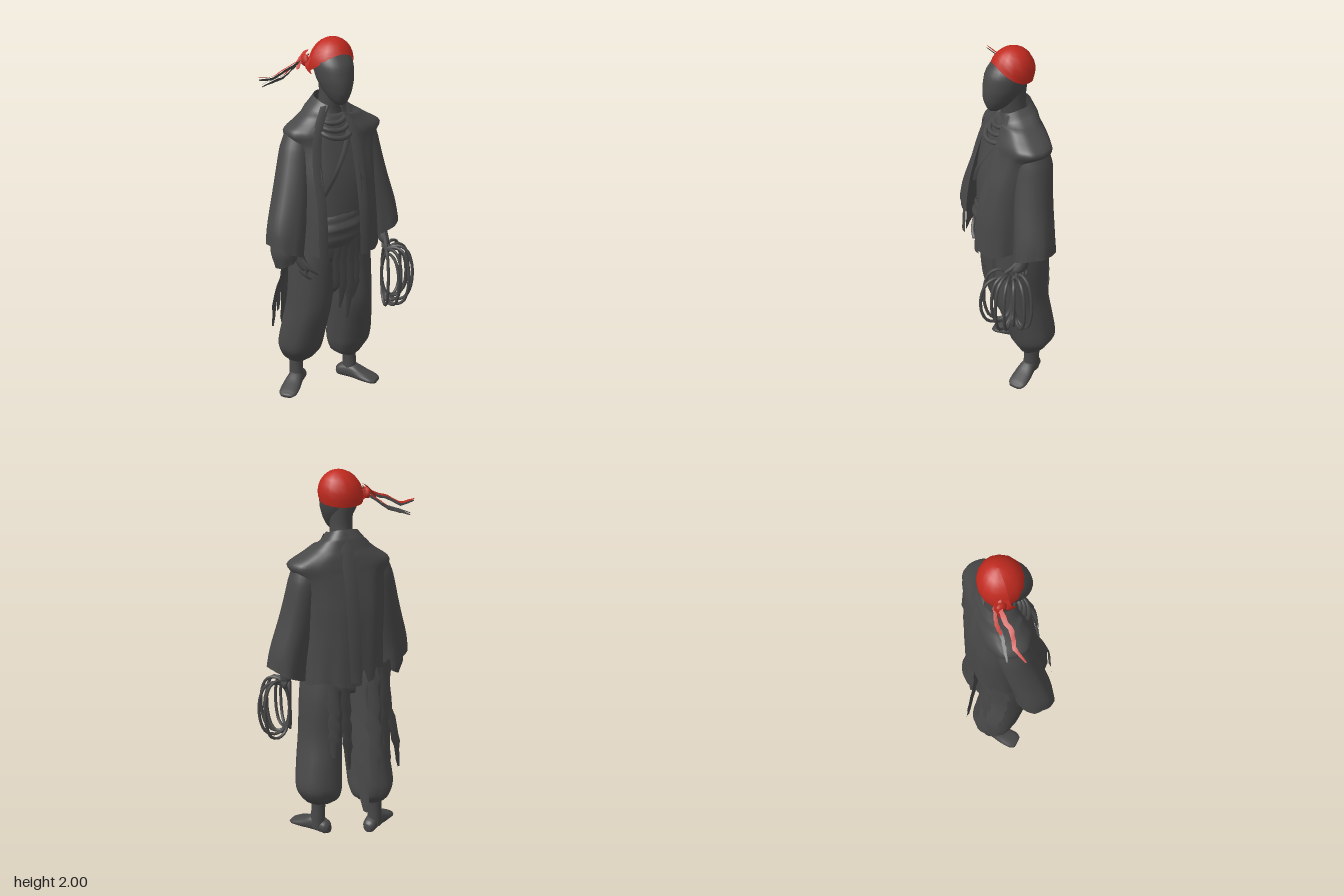
import * as THREE from 'three';

const V = (a) => new THREE.Vector3(...a);

// Skin through elliptical sections [x, y, z, rx, rz] listed from top to bottom.
// arc: angle range (front is PI/2), p: squareness, fold/k: cloth ripples, warp: extra shaping
function loft(sections, { seg = 28, rows = 20, arc = null, p = 1, fold = 0, k = 7, cap = false, warp = null } = {}) {
  const centres = new THREE.CatmullRomCurve3(sections.map((s) => V(s.slice(0, 3))));
  const radii = new THREE.CatmullRomCurve3(sections.map((s) => new THREE.Vector3(s[3], 0, s[4])));
  const pos = [], idx = [];
  const [a0, a1] = arc || [0, Math.PI * 2];
  const cols = arc ? seg + 1 : seg;
  const bend = (v) => Math.sign(v) * Math.abs(v) ** p;
  for (let i = 0; i <= rows; i++) {
    const t = i / rows, c = centres.getPoint(t), r = radii.getPoint(t);
    for (let j = 0; j < cols; j++) {
      const a = a0 + (a1 - a0) * j / seg;
      const f = 1 + fold * t * (Math.sin(k * a + 2 * t) + 0.5 * Math.sin((k + 4) * a - 5 * t));
      const v = new THREE.Vector3(c.x + r.x * bend(Math.cos(a)) * f, c.y, c.z + r.z * bend(Math.sin(a)) * f);
      if (warp) warp(v, t, a);
      pos.push(v.x, v.y, v.z);
    }
  }
  for (let i = 0; i < rows; i++) for (let j = 0; j < seg; j++) {
    const a = i * cols + j, b = i * cols + (j + 1) % cols;
    idx.push(a, b, a + cols, b, b + cols, a + cols);
  }
  if (cap) {
    const top = pos.length / 3, base = rows * cols;
    pos.push(...centres.getPoint(0).toArray(), ...centres.getPoint(1).toArray());
    for (let j = 0; j < seg; j++) {
      const n = (j + 1) % cols;
      idx.push(top, n, j, top + 1, base + j, base + n);
    }
  }
  return build(pos, idx);
}

function build(pos, idx) {
  const g = new THREE.BufferGeometry();
  g.setAttribute('position', new THREE.Float32BufferAttribute(pos, 3));
  g.setIndex(idx);
  g.computeVertexNormals();
  return g;
}

// Cloth strip along a path; it narrows to a ragged tip
function ribbon(points, width, side = [1, 0, 0], tip = 0.25, wave = 0) {
  const curve = new THREE.CatmullRomCurve3(points.map(V)), pos = [], idx = [], rows = 12;
  for (let i = 0; i <= rows; i++) {
    const t = i / rows, c = curve.getPoint(t);
    const w = width / 2 * (t < 0.7 ? 1 : 1 - (1 - tip) * (t - 0.7) / 0.3);
    for (const s of [-1, 0, 1]) {
      const q = c.clone().addScaledVector(V(side), s * w * (1 + wave * Math.sin(i * 2.4 + s)));
      pos.push(q.x, q.y, q.z + (s === 0 ? Math.sign(c.z) * width * 0.12 : 0));
    }
  }
  for (let i = 0; i < rows; i++) for (let s = 0; s < 2; s++) {
    const a = i * 3 + s;
    idx.push(a, a + 3, a + 1, a + 1, a + 3, a + 4);
  }
  return build(pos, idx);
}

const tube = (points, r, closed = false, n = 16) =>
  new THREE.TubeGeometry(new THREE.CatmullRomCurve3(points.map(V), closed), n, r, 7, closed);

// Half sphere whose lower edge is high over the brow and low at the sides and nape
function headWrapGeometry() {
  const g = new THREE.SphereGeometry(1, 16, 7, 0, Math.PI * 2, 0, Math.PI / 2), v = g.attributes.position;
  for (let i = 0; i < v.count; i++) {
    const a = Math.atan2(v.getZ(i), v.getX(i)), s = Math.sin(a);
    const edge = 1.84 - 0.72 * Math.max(0, s) ** 1.4 + 0.14 * Math.max(0, -s);
    const phi = Math.acos(Math.min(1, v.getY(i))) / (Math.PI / 2) * edge, r = Math.sin(phi);
    v.setXYZ(i, 0.002 + 0.115 * r * Math.cos(a) + 0.012 * Math.cos(phi), 1.876 + 0.124 * Math.cos(phi), -0.012 + (s > 0 ? 0.12 : 0.108) * r * s);
  }
  g.computeVertexNormals();
  return g;
}

export function createModel() {
  const model = new THREE.Group();
  const cloth = new THREE.MeshStandardMaterial({ color: 0x484848, side: THREE.DoubleSide });
  cloth.name = 'charcoal';
  const red = new THREE.MeshStandardMaterial({ color: 0xc02a1f, side: THREE.DoubleSide });
  red.name = 'red';
  const add = (name, geo, mat = cloth, parent = model) => {
    const m = new THREE.Mesh(geo, mat);
    m.name = name;
    parent.add(m);
    return m;
  };

  // Head and neck
  add('head', loft([[0, 1.96, -0.01, 0.05, 0.05], [0, 1.93, -0.005, 0.085, 0.09], [0, 1.87, 0.015, 0.1, 0.115],
    [0, 1.8, 0.035, 0.09, 0.11], [0, 1.74, 0.058, 0.067, 0.086], [0, 1.7, 0.075, 0.043, 0.055],
    [0, 1.68, 0.085, 0.022, 0.03]], { cap: true }));
  add('neck', loft([[0, 1.83, -0.015, 0.06, 0.075], [0, 1.72, -0.01, 0.056, 0.068], [0, 1.64, -0.02, 0.062, 0.068],
    [0, 1.56, -0.02, 0.1, 0.08]]));

  // Head wrap with knot and two trailing tails, red above and dark beneath
  add('headWrap', headWrapGeometry(), red);
  const knot = add('wrapKnot', new THREE.IcosahedronGeometry(0.022, 1), red);
  knot.position.set(-0.118, 1.885, -0.06);
  knot.scale.set(0.9, 1.4, 1.5);
  const upperTail = [[-0.1, 1.915, -0.06], [-0.17, 1.878, -0.065], [-0.24, 1.855, -0.052], [-0.3, 1.822, -0.065], [-0.385, 1.83, -0.045]];
  const lowerTail = [[-0.1, 1.9, -0.08], [-0.17, 1.85, -0.1], [-0.22, 1.815, -0.095], [-0.28, 1.795, -0.105], [-0.335, 1.775, -0.115]];
  const under = (pts) => pts.map(([x, y, z]) => [x, y - 0.01, z + 0.004]);
  add('upperTailTop', ribbon(upperTail, 0.024, [0.2, 0.35, 0.9], 0.3, 0.25), red);
  add('upperTailUnderside', ribbon(under(upperTail), 0.022, [0.1, 0.85, 0.4], 0.35, 0.2));
  add('lowerTailBase', ribbon(lowerTail.slice(0, 3), 0.022, [0.2, 0.4, 0.85], 0.5, 0.2), red);
  add('lowerTail', ribbon(lowerTail.slice(1), 0.02, [0.2, 0.4, 0.85], 0.4, 0.2));
  add('lowerTailUnderside', ribbon(under(lowerTail), 0.02, [0.1, 0.85, 0.4], 0.35, 0.2));
  add('wrapEnd', ribbon([[-0.1, 1.91, -0.03], [-0.13, 1.87, -0.02], [-0.125, 1.83, 0.015]], 0.032, [0.2, 0.2, 0.9]), red);
  add('wrapFold', ribbon([[-0.1, 1.93, -0.08], [-0.145, 1.885, -0.07], [-0.165, 1.845, -0.05]], 0.035, [0.5, 0.3, 0.7], 0.5, 0.1), red);

  // Robe under the jacket
  add('robe', loft([[0, 1.62, -0.02, 0.085, 0.075], [0, 1.56, -0.02, 0.15, 0.1], [0, 1.48, -0.02, 0.19, 0.125],
    [0, 1.3, 0, 0.195, 0.155], [0, 1.12, 0.005, 0.18, 0.165], [0, 0.95, 0, 0.19, 0.165], [0, 0.85, -0.01, 0.19, 0.15]],
  { p: 0.85, fold: 0.012, cap: true }));
  add('robeLapel', ribbon([[0.07, 1.58, 0.075], [0.01, 1.45, 0.122], [-0.07, 1.32, 0.153], [-0.14, 1.2, 0.146]], 0.05, [0.8, 0.3, -0.1], 0.8));
  add('waistSash', loft([[-0.02, 1.12, 0.005, 0.165, 0.164], [-0.02, 1.04, 0.005, 0.178, 0.185], [-0.02, 0.94, 0, 0.17, 0.172]],
    { p: 0.85, rows: 10, warp: (v, t, a) => { v.y += 0.025 * Math.cos(a); v.z += 0.006 * Math.sin(t * 18); } }));
  [0, 1, 2].forEach((i) => {
    const ring = add('neckScarf', new THREE.TorusGeometry(0.074 + i * 0.011, 0.013, 8, 28));
    ring.position.set(-0.015, 1.615 - i * 0.03, 0.014 + i * 0.012);
    ring.rotation.set(Math.PI / 2 + 0.5, 0.08 - i * 0.07, 0);
  });

  // Open jacket, with raised collar, pointed shoulders and forward front panels
  add('jacket', loft([[0, 1.69, -0.02, 0.075, 0.08], [0, 1.65, -0.025, 0.11, 0.092], [0.012, 1.59, -0.03, 0.195, 0.11],
    [0.018, 1.535, -0.025, 0.27, 0.125], [0.01, 1.47, -0.022, 0.236, 0.138], [0, 1.3, -0.005, 0.222, 0.178],
    [0, 1.1, 0.01, 0.22, 0.2], [0, 0.91, 0.015, 0.225, 0.206]],
  { arc: [Math.PI / 2 + 0.58, Math.PI * 2.5 - 0.2], p: 0.76, seg: 56, rows: 28, fold: 0.018, k: 9,
    warp: (v, t, a) => {
      v.z += 0.012 * t * Math.max(0, Math.sin(a)) ** 4;
      v.y += t < 0.2 ? -0.025 * Math.sin(a) : t > 0.9 ? 0.015 * Math.sin(5 * a) : 0;
    } }));
  add('jacketCollarLeft', ribbon([[0.05, 1.665, 0.04], [0.07, 1.58, 0.08], [0.075, 1.4, 0.142], [0.07, 1.15, 0.209], [0.07, 0.9, 0.23]], 0.055, [1, 0, 0], 1));
  add('jacketCollarRight', ribbon([[-0.06, 1.665, 0.04], [-0.12, 1.56, 0.078], [-0.155, 1.4, 0.122], [-0.16, 1.15, 0.186], [-0.165, 0.88, 0.207]], 0.05, [1, 0, 0.1], 1));
  add('jacketBackSeam', ribbon([[0.01, 1.7, -0.1], [0.01, 1.6, -0.135], [0, 1.4, -0.175], [-0.01, 1.15, -0.192], [-0.02, 0.92, -0.193]], 0.07, [1, 0, 0], 0.9));

  // Wide sleeves, hem slanting up on the outside
  add('leftSleeve', loft([[0.2, 1.55, -0.035, 0.06, 0.065], [0.21, 1.45, -0.035, 0.08, 0.09], [0.242, 1.25, -0.015, 0.09, 0.1],
    [0.288, 1.05, 0, 0.098, 0.108], [0.3, 0.95, 0.005, 0.1, 0.112]],
  { fold: 0.04, k: 5, warp: (v, t, a) => { v.y += 0.045 * t * t * Math.cos(a); } }));
  add('rightSleeve', loft([[-0.18, 1.55, -0.03, 0.06, 0.065], [-0.2, 1.45, -0.02, 0.08, 0.088], [-0.245, 1.25, 0.015, 0.092, 0.098],
    [-0.295, 1.05, 0.05, 0.1, 0.1], [-0.31, 0.94, 0.06, 0.095, 0.1]],
  { fold: 0.04, k: 5, warp: (v, t, a) => { v.y -= 0.04 * t * t * Math.cos(a); } }));
  add('rightInnerCuff', loft([[-0.28, 1.08, 0.045, 0.07, 0.07], [-0.305, 0.95, 0.05, 0.075, 0.08], [-0.3, 0.88, 0.05, 0.06, 0.07]],
    { rows: 10, fold: 0.06, k: 4, warp: (v, t, a) => { v.y += 0.035 * t * Math.cos(a); } }));

  // Forearms and hands
  const arm = (name, elbow, wrist, tip, spread) => {
    const g = new THREE.Group();
    g.name = name;
    model.add(g);
    const mid = V(wrist).lerp(V(tip), 0.5).toArray();
    add('forearm', loft([[...elbow, 0.045, 0.045], [...wrist, 0.03, 0.032], [...mid, 0.026, 0.042],
      [...V(wrist).lerp(V(tip), 0.65).toArray(), 0.016, 0.036]], { seg: 14, cap: true }), cloth, g);
    for (let i = 0; i < 4; i++) {
      const dz = (i - 1.5) * 0.019;
      add('finger', tube([[mid[0], mid[1], mid[2] + dz], [(mid[0] + tip[0]) / 2 + spread, (mid[1] + tip[1]) / 2, mid[2] + dz],
        [tip[0], tip[1] + Math.abs(dz) * 0.5, tip[2] + dz]], 0.01), cloth, g);
    }
    add('thumb', tube([[wrist[0], wrist[1] - 0.01, wrist[2] + 0.02], [mid[0] - spread, mid[1], mid[2] + 0.045],
      [tip[0] - spread * 2, tip[1] + 0.04, tip[2] + 0.045]], 0.011), cloth, g);
  };
  arm('leftHand', [0.26, 1.12, 0], [0.28, 0.95, 0.05], [0.285, 0.82, 0.1], 0.015);
  arm('rightHand', [-0.28, 1.1, 0.04], [-0.25, 0.91, 0.08], [-0.195, 0.765, 0.1], -0.015);

  // Coiled rope fanning outwards from the left hand
  for (let i = 0; i < 8; i++) {
    const yaw = -0.25 + i * 0.31, w = 0.077 + 0.01 * Math.sin(i * 2.3), h = 0.155 + 0.014 * Math.cos(i * 1.7), pts = [];
    for (let j = 0; j < 12; j++) {
      const a = j * Math.PI / 6, c = Math.cos(a), r = w * (1 + Math.sign(c) * Math.abs(c) ** 0.8);
      pts.push([0.255 + r * Math.cos(yaw), 0.7 + h * Math.sin(a) + 0.01 * Math.sin(i * 3), 0.105 + r * 1.05 * Math.sin(yaw)]);
    }
    add('ropeLoop', tube(pts, 0.0085, true, 36));
  }

  // Baggy trousers gathered at the shins, shins and bare feet
  for (const [s, dz, yaw] of [[1, 0.005, 0.6], [-1, -0.075, -0.85]]) {
    const side = s > 0 ? 'left' : 'right';
    const out = s > 0 ? 0.008 : -0.002;
    add(side + 'TrouserLeg', loft([[0.1 * s, 1, -0.01, 0.105, 0.145], [0.11 * s, 0.8, -0.02, 0.12, 0.15],
      [0.12 * s, 0.58, -0.015 + dz * 0.3, 0.116, 0.15], [0.13 * s + out, 0.42, -0.045 + dz * 0.4, 0.122, 0.14],
      [(0.14 + out) * s, 0.29, -0.072 + dz * 0.5, 0.127, 0.127], [(0.132 + out) * s, 0.215, -0.08 + dz * 0.8, 0.1, 0.092],
      [(0.14 + out) * s, 0.175, -0.065 + dz, 0.05, 0.05]],
    { seg: 36, rows: 28, fold: 0.03, k: 6, warp: (v, t, a) => { v.y += 0.025 * t * Math.cos(a + 1) * (t < 0.9 ? 1 : 0.5); } }));
    add(side + 'Shin', loft([[0.145 * s, 0.26, -0.07 + dz, 0.052, 0.058], [0.152 * s, 0.14, -0.07 + dz, 0.037, 0.045],
      [0.153 * s, 0.03, -0.065 + dz, 0.04, 0.048]], { seg: 16, rows: 8 }));
    const foot = loft([[0, 0.075, 0.03, 0.018, 0.022], [0, 0.055, 0.036, 0.036, 0.035], [0, -0.02, 0.046, 0.042, 0.045],
      [0, -0.09, 0.03, 0.052, 0.029], [0, -0.15, 0.018, 0.052, 0.017], [0, -0.178, 0.012, 0.035, 0.01]],
    { seg: 18, p: 0.85, cap: true }).rotateX(-Math.PI / 2);
    const m = add(side + 'Foot', foot);
    m.position.set(0.148 * s, 0.001, -0.065 + dz);
    m.rotation.y = yaw;
  }

  // Sash ends at the front
  for (const [x, end, w] of [[-0.06, 0.66, 0.04], [-0.02, 0.56, 0.045], [0.025, 0.49, 0.05], [0.06, 0.6, 0.04]])
    add('frontSashEnd', ribbon([[x * 0.7, 0.98, 0.165], [x, 0.85, 0.15], [x + 0.008, 0.7, 0.14], [x, end, 0.12]], w, [1, 0, 0.1], 0.3, 0.12));

  // Ragged cloth hanging at the back and right hip: [x, end x, end y, end z, width, sideways z]
  for (const [x, ex, ey, ez, w, sz] of [[-0.04, -0.055, 0.18, -0.25, 0.085, 0.8], [-0.12, -0.13, 0.32, -0.215, 0.09, 0.2],
    [0.03, 0.02, 0.42, -0.19, 0.08, -0.3], [0.1, 0.1, 0.5, -0.18, 0.08, 0.1], [-0.19, -0.21, 0.25, -0.18, 0.08, -0.3],
    [-0.23, -0.28, 0.38, -0.17, 0.085, -0.7], [-0.22, -0.27, 0.5, -0.12, 0.09, -0.7]])
    add('raggedStrip', ribbon([[x, 0.98, x < -0.2 ? -0.1 : -0.16], [x, 0.75, x < -0.2 ? -0.12 : -0.175],
      [(x + ex) / 2, (0.75 + ey) / 2, (ez - 0.18) / 2], [ex, ey, ez]], w, [0.75, 0, sz], 0.35, 0.22));

  return model;
}
